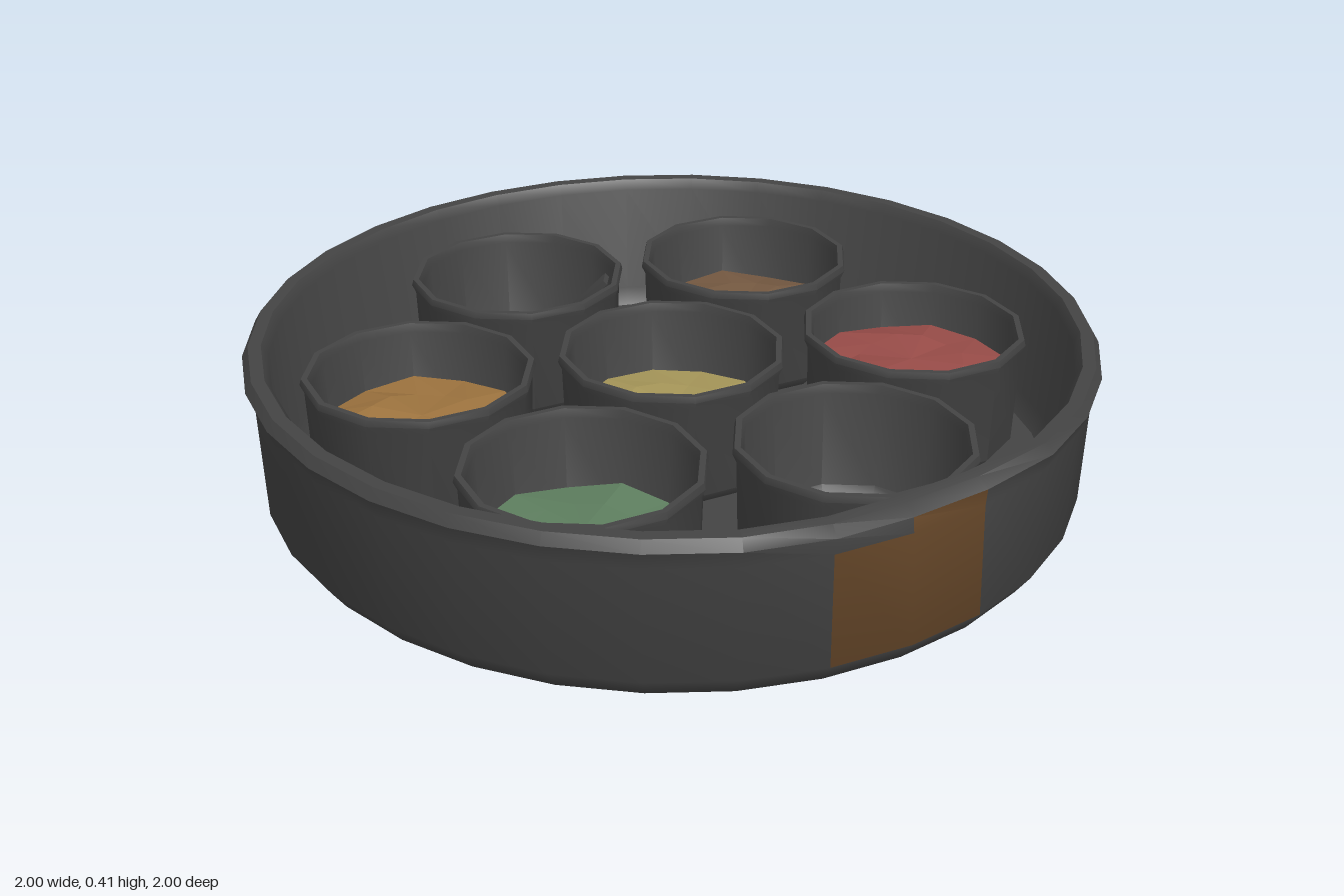
import * as THREE from 'three';
import { toCreasedNormals } from 'three/addons/utils/BufferGeometryUtils.js';

const mat = (name, color) => {
  const m = new THREE.MeshStandardMaterial({ color });
  m.name = name;
  return m;
};

const named = (geometry, material, name) => {
  const mesh = new THREE.Mesh(geometry, material);
  mesh.name = name;
  return mesh;
};

const profile = (pts) => pts.map(([r, y]) => new THREE.Vector2(r, y));

// Apply a rule to every vertex
function deform(geo, rule) {
  const p = geo.attributes.position;
  const v = new THREE.Vector3();
  for (let i = 0; i < p.count; i++) {
    v.fromBufferAttribute(p, i);
    rule(v);
    p.setXYZ(i, v.x, v.y, v.z);
  }
  return geo;
}

// Rim knocked inward and down at the front left
function dent(v) {
  const d = Math.abs(Math.atan2(v.x, v.z) - 0.62) / 0.42;
  const r = Math.hypot(v.x, v.z);
  if (d >= 1 || r < 0.9) return;
  const w = Math.cos(d * Math.PI / 2) ** 2 * (Math.max(v.y, 0) / 0.41) ** 5;
  const s = (r - 0.065 * w) / r;
  v.set(v.x * s, v.y - 0.03 * w, v.z * s);
}

function makeTray(metal, rust) {
  const pts = profile([
    [0, 0], [0.87, 0], [0.94, 0.02], [0.975, 0.07], [0.982, 0.34], [1, 0.385],
    [0.985, 0.41], [0.955, 0.41], [0.94, 0.385], [0.935, 0.09], [0.91, 0.045], [0, 0.045],
  ]);
  const sides = 32;
  const geo = toCreasedNormals(deform(new THREE.LatheGeometry(pts, sides), dent), 0.75);
  // Rust covers two wall panels and one rim panel
  geo.clearGroups();
  const rusty = { 2: [3], 3: [3, 4] };
  for (let i = 0; i < sides; i++) {
    for (let j = 0; j < pts.length - 1; j++) {
      const hit = rusty[i] && rusty[i].includes(j);
      geo.addGroup((i * (pts.length - 1) + j) * 6, 6, hit ? 1 : 0);
    }
  }
  return named(geo, [metal, rust], 'tray');
}

function makeCupGeometry() {
  const pts = profile([
    [0, 0.046], [0.235, 0.046], [0.258, 0.075], [0.265, 0.31], [0.274, 0.33], [0.27, 0.345],
    [0.256, 0.345], [0.25, 0.325], [0.24, 0.09], [0.225, 0.07], [0, 0.07],
  ]);
  return toCreasedNormals(new THREE.LatheGeometry(pts, 12), 0.75);
}

// Faceted, slightly uneven heap
function makeHeap(level, seed) {
  const pts = profile([[0.243, level], [0.13, level + 0.018], [0, level + 0.022]]);
  const lumpy = deform(new THREE.LatheGeometry(pts, 12), (v) => {
    v.y += 0.01 * Math.sin(v.x * 23 + seed) * Math.cos(v.z * 19 + seed * 2);
  });
  const geo = lumpy.toNonIndexed();
  geo.computeVertexNormals();
  return geo;
}

function makeSpoon(metal) {
  const spoon = new THREE.Group();
  spoon.name = 'spoon';
  // Bowl: shallow shell, inside and outside
  const bowlGeo = new THREE.LatheGeometry(profile([
    [0, -0.035], [0.06, -0.027], [0.095, -0.008], [0.105, 0.004], [0.095, 0.006],
    [0.055, -0.018], [0, -0.024],
  ]), 12);
  const bowl = named(bowlGeo, metal, 'spoonBowl');
  bowl.scale.set(1.05, 1, 0.6);
  bowl.position.set(-0.045, 0.128, 0);
  bowl.rotation.z = 0.3;
  spoon.add(bowl);
  // Handle: flat bar widening towards the tip
  const shape = new THREE.Shape();
  [[0, -0.013], [0.17, -0.016], [0.26, -0.027], [0.26, 0.027], [0.17, 0.016], [0, 0.013]]
    .forEach(([x, y], i) => (i ? shape.lineTo(x, y) : shape.moveTo(x, y)));
  const handleGeo = new THREE.ExtrudeGeometry(shape, { depth: 0.014, bevelEnabled: false });
  handleGeo.rotateX(-Math.PI / 2);
  const handle = named(handleGeo, metal, 'spoonHandle');
  handle.position.set(0.045, 0.145, 0);
  handle.rotation.z = 0.76;
  spoon.add(handle);
  return spoon;
}

export function createModel() {
  const metal = mat('dark metal', 0x444444);
  const rust = mat('rust', 0x664729);
  const model = new THREE.Group();
  model.name = 'spiceBox';
  model.add(makeTray(metal, rust));

  // One middle cup and six around it; level 0 means empty
  const spices = [
    ['yellowSpice', 0xa8985a, 0.165],
    ['redSpice', 0x984c48, 0.235],
    ['brownSpice', 0x765a42, 0.185],
    ['spoonCup', 0, 0],
    ['orangeSpice', 0x9e743f, 0.2],
    ['greenSpice', 0x5f8060, 0.155],
    ['emptyCup', 0, 0],
  ];
  const cupGeo = makeCupGeometry();
  spices.forEach(([name, color, level], i) => {
    const group = new THREE.Group();
    group.name = name + 'Group';
    const a = Math.PI / 12 + (i - 1) * Math.PI / 3;
    if (i > 0) group.position.set(0.6 * Math.cos(a), 0, -0.6 * Math.sin(a));
    const cup = named(cupGeo, metal, 'cup');
    cup.rotation.y = Math.PI / 12;
    group.add(cup);
    if (level) {
      const heap = named(makeHeap(level, i), mat(name, color), name);
      heap.rotation.y = Math.PI / 12;
      group.add(heap);
    }
    if (name === 'spoonCup') group.add(makeSpoon(metal));
    model.add(group);
  });
  return model;
}
